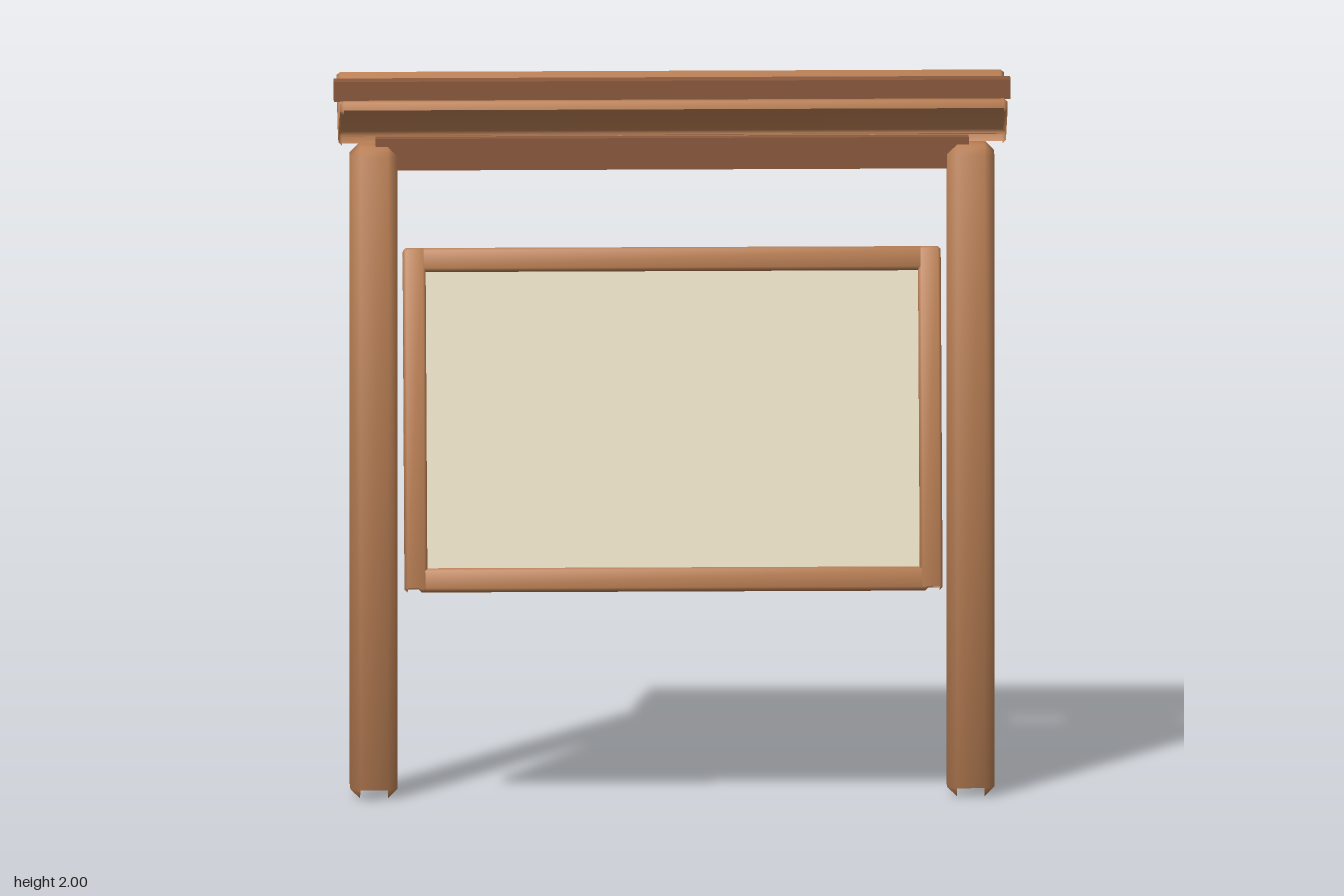
import * as THREE from 'three';

const wood = new THREE.MeshStandardMaterial({ color: 0xbb8055, side: THREE.DoubleSide });
wood.name = 'warm wood';
const darkWood = new THREE.MeshStandardMaterial({ color: 0x8b5a3e });
darkWood.name = 'dark wood';
const cream = new THREE.MeshStandardMaterial({ color: 0xe6dbc2 });
cream.name = 'cream paper';

// Chamfered box with soft shared normals; openBottom drops the underside and its bevel strips
function bevelBox(w, h, d, c, openBottom = false) {
  const half = [w / 2, h / 2, d / 2];
  const pos = [], nor = [], index = [];
  const signs = [-1, 1];
  // one vertex per (corner, facing axis)
  const id = (a, s) => a * 8 + (s[0] > 0 ? 1 : 0) + (s[1] > 0 ? 2 : 0) + (s[2] > 0 ? 4 : 0);
  for (let a = 0; a < 3; a++)
    for (const z of signs) for (const y of signs) for (const x of signs) {
      const s = [x, y, z];
      pos.push(...s.map((v, i) => v * (half[i] - (i === a ? 0 : c))));
      nor.push(...new THREE.Vector3(...s.map((v, i) => v * (i === a ? 3 : 0.9))).normalize().toArray());
    }
  const at = (i) => new THREE.Vector3().fromArray(pos, i * 3);
  // adds a polygon, wound to face the given outward direction
  const face = (ids, out) => {
    const n = at(ids[1]).sub(at(ids[0])).cross(at(ids[2]).sub(at(ids[0])));
    if (n.dot(new THREE.Vector3(...out)) < 0) ids.reverse();
    for (let i = 1; i < ids.length - 1; i++) index.push(ids[0], ids[i], ids[i + 1]);
  };
  const corner = (a, sa, b, sb, e, se) => { const s = []; s[a] = sa; s[b] = sb; s[e] = se; return s; };
  for (let a = 0; a < 3; a++) {
    const b = (a + 1) % 3, e = (a + 2) % 3;
    for (const sa of signs) {
      // flat side
      if (!(openBottom && a === 1 && sa < 0))
        face([[-1, -1], [1, -1], [1, 1], [-1, 1]].map(([p, q]) => id(a, corner(a, sa, b, p, e, q))),
          corner(a, sa, b, 0, e, 0));
      // bevel strips between axes a and b
      for (const sb of signs) {
        if (openBottom && ((a === 1 && sa < 0) || (b === 1 && sb < 0))) continue;
        const s0 = corner(a, sa, b, sb, e, -1), s1 = corner(a, sa, b, sb, e, 1);
        face([id(a, s0), id(a, s1), id(b, s1), id(b, s0)], corner(a, sa, b, sb, e, 0));
      }
    }
  }
  // corner triangles
  for (const x of signs) for (const y of signs) for (const z of signs) {
    const s = [x, y, z];
    face([id(0, s), id(1, s), id(2, s)], s);
  }
  const g = new THREE.BufferGeometry();
  g.setAttribute('position', new THREE.Float32BufferAttribute(pos, 3));
  g.setAttribute('normal', new THREE.Float32BufferAttribute(nor, 3));
  g.setIndex(index);
  return g;
}

function add(parent, name, geometry, material, x, y, z) {
  const mesh = new THREE.Mesh(geometry, material);
  mesh.name = name;
  mesh.position.set(x, y, z);
  parent.add(mesh);
  return mesh;
}

export function createModel() {
  const model = new THREE.Group();
  model.name = 'noticeBoard';

  // Posts, hollow at the foot
  const post = bevelBox(0.13, 1.82, 0.13, 0.027, true);
  add(model, 'leftPost', post, wood, 0.82, 0.91, 0);
  add(model, 'rightPost', post, wood, -0.82, 0.91, 0);

  // Cross beam and ridge bar
  add(model, 'crossBeam', new THREE.BoxGeometry(1.63, 0.088, 0.076), darkWood, 0, 1.798, 0);
  add(model, 'ridgeBar', new THREE.BoxGeometry(1.86, 0.055, 0.055), darkWood, 0, 1.9725, 0);

  // Two roof planks forming a V, hollow underneath
  const plank = bevelBox(1.835, 0.042, 0.27, 0.01, true);
  for (const s of [1, -1]) {
    const roof = add(model, s > 0 ? 'frontRoofPlank' : 'backRoofPlank', plank, wood, 0, 1.902, s * 0.122);
    roof.rotation.x = -s * Math.PI / 6;
  }

  // Tilted display board
  const board = new THREE.Group();
  board.name = 'displayBoard';
  board.position.set(0, 1.063, 0.078);
  board.rotation.x = -Math.PI / 12;
  model.add(board);
  add(board, 'backPanel', bevelBox(1.478, 0.925, 0.022, 0.002), wood, 0, 0, -0.0265);
  add(board, 'paper', new THREE.BoxGeometry(1.37, 0.84, 0.008), cream, 0, 0, -0.0115);
  const stile = bevelBox(0.062, 0.947, 0.052, 0.008, true);
  const rail = bevelBox(1.4, 0.064, 0.05, 0.008);
  for (const s of [1, -1]) {
    add(board, s > 0 ? 'leftFrame' : 'rightFrame', stile, wood, s * 0.708, 0, 0.0065);
    add(board, s > 0 ? 'topFrame' : 'bottomFrame', rail, wood, 0, s * 0.4415, 0.0055);
  }
  return model;
}
